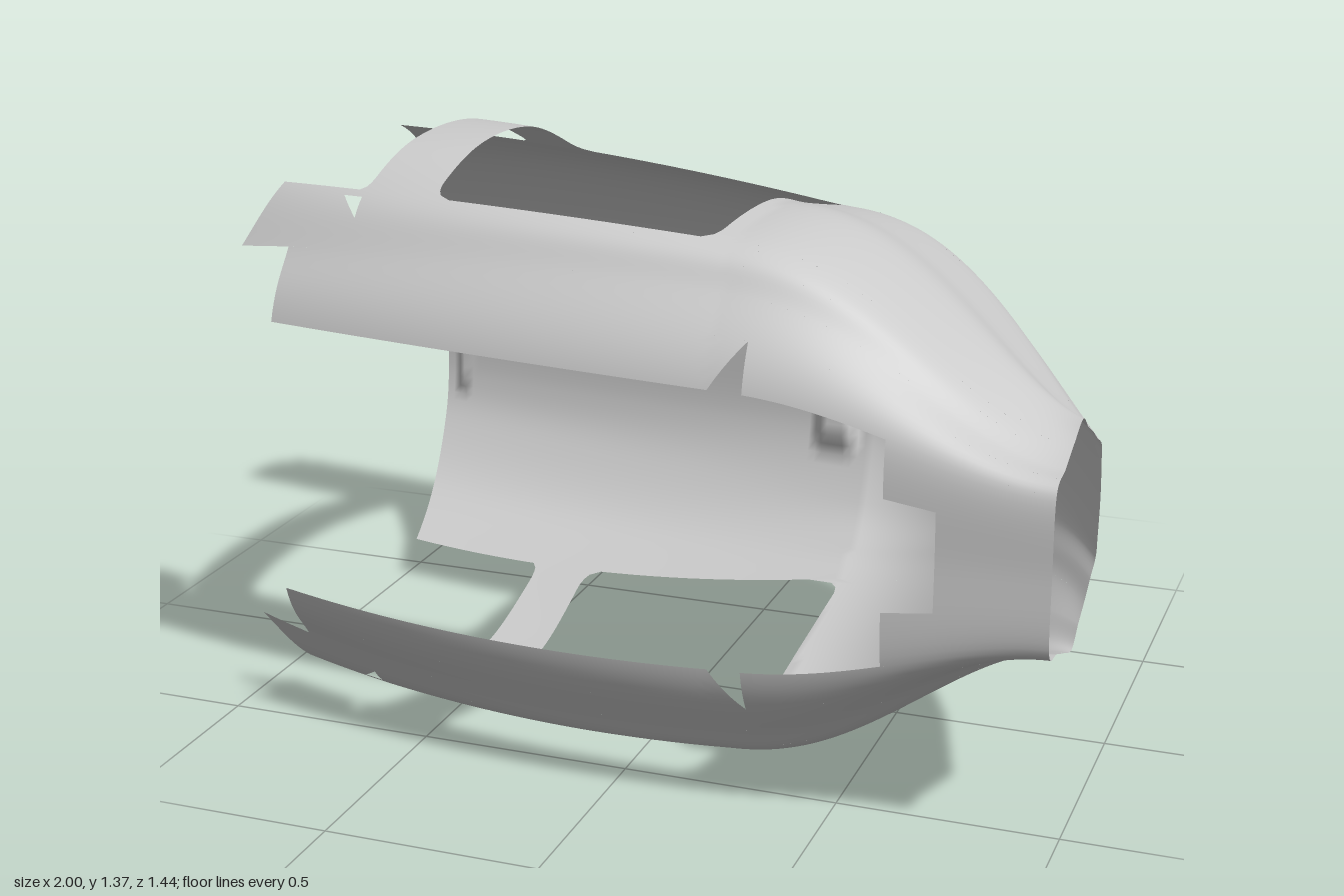
import * as THREE from 'three';

const { lerp, smoothstep, clamp } = THREE.MathUtils;
const MID = 0.685; // height of the mirror plane
const SHOULDER = 0.27; // x where the body turns into the nose

// Half cross-sections from back centre over the top to front centre: z, and y above the mirror plane
const openEnd = {
  z: [-.72, -.715, -.67, -.56, -.39, -.1, .2, .33, .44, .53, .6],
  y: [0, .2, .33, .47, .565, .65, .645, .575, .44, .31, 0],
};
const middle = {
  z: [-.64, -.635, -.585, -.475, -.3, -.03, .24, .475, .57, .67, .7],
  y: [0, .2, .34, .475, .555, .662, .674, .6, .5, .325, 0],
};
const shoulder = {
  z: [-.54, -.53, -.46, -.38, -.275, 0, .22, .52, .615, .71, .717],
  y: [0, .18, .34, .42, .475, .54, .59, .575, .49, .31, 0],
};
const noseEnd = {
  z: [.225, .235, .245, .3, .35, .41, .47, .55, .63, .71, .717],
  y: [0, .09, .13, .16, .19, .22, .255, .23, .2, .17, 0],
};

// Smooth curve through a section; the y half continues mirrored past both ends
function along(section, k, v) {
  const p = i => {
    const m = i < 0 ? -i : i > 10 ? 20 - i : i;
    return section[k][m] * (m !== i && k === 'y' ? -1 : 1);
  };
  const i = clamp(Math.floor(v), 0, 9), t = v - i, s = 1 - t;
  const ma = (p(i + 1) - p(i - 1)) / 2, mb = (p(i + 2) - p(i)) / 2;
  return p(i) * s * s * (1 + 2 * t) + p(i + 1) * t * t * (3 - 2 * t) + t * s * (ma * s - mb * t);
}

// Body: a parabola along x through three sections. Nose: an eased taper to its hexagonal end.
function coordinate(x, v, k) {
  if (x > SHOULDER) {
    const t = Math.min((x - SHOULDER) / (1 - SHOULDER), 1);
    const ease = k === 'z' ? Math.pow(t, 2.2) : lerp(t, smoothstep(Math.pow(t, 1.18), 0, 1), .9);
    return lerp(along(shoulder, k, v), along(noseEnd, k, v), ease);
  }
  const a = -1, b = -.4, c = SHOULDER;
  return along(openEnd, k, v) * (x - b) * (x - c) / ((a - b) * (a - c))
    + along(middle, k, v) * (x - a) * (x - c) / ((b - a) * (b - c))
    + along(shoulder, k, v) * (x - a) * (x - b) / ((c - a) * (c - b));
}

// Pressed grooves across the back
function groove(x, v) {
  const dent = (a, b, w) => smoothstep(x, a - w, a) * (1 - smoothstep(x, b, b + w));
  return (1 - smoothstep(v, .9, 1.4)) * (.04 * dent(.15, .21, .04) + .02 * dent(-.95, -.935, .015));
}

const surface = (x, v) =>
  new THREE.Vector3(x, coordinate(x, v, 'y'), coordinate(x, v, 'z') + groove(x, v));

// Piece of the shell between v0 and v1, trimmed by the edges left(v) and right(v)
function piece(v0, v1, left, right, rows, columns, side) {
  const pos = [], nor = [], idx = [], e = 1e-3;
  for (let j = 0; j <= rows; j++) {
    const v = lerp(v0, v1, j / rows);
    for (let i = 0; i <= columns; i++) {
      const x = lerp(left(v), right(v), i / columns);
      const p = surface(x, v);
      const dx = surface(Math.min(x + e, 1), v).sub(surface(x - e, v));
      const dv = surface(x, Math.min(v + e, 10)).sub(surface(x, Math.max(v - e, 0)));
      const n = dv.cross(dx).normalize();
      pos.push(p.x, MID + side * p.y, p.z);
      nor.push(n.x, side * n.y, n.z);
      if (i < columns && j < rows) {
        const a = j * (columns + 1) + i, b = a + columns + 1;
        if (side > 0) idx.push(a, b, a + 1, b, b + 1, a + 1);
        else idx.push(a, a + 1, b, b, a + 1, b + 1);
      }
    }
  }
  const g = new THREE.BufferGeometry();
  g.setAttribute('position', new THREE.Float32BufferAttribute(pos, 3));
  g.setAttribute('normal', new THREE.Float32BufferAttribute(nor, 3));
  g.setIndex(idx);
  return g;
}

// Straight edge from x = a at v0 to x = b at v1
const edge = (v0, a, v1, b) => v => lerp(a, b, (v - v0) / (v1 - v0));
const at = x => () => x;

// Extra width that rounds the window corners
function fillet(v, r) {
  const t = clamp(1 - Math.min(v - 4, 7 - v) / .25, 0, 1);
  return r * (1 - Math.sqrt(1 - t * t));
}

export function createModel() {
  const model = new THREE.Group();
  const material = new THREE.MeshStandardMaterial({ color: 0xcccccc, side: THREE.DoubleSide });

  const backLeft = v => -1 + .05 * Math.pow(v / 4, 3);
  const windowEnd = v => lerp(.28, .22, (v - 4) / 3) - fillet(v, lerp(.09, .03, (v - 4) / 3));
  const bandLeft = v => lerp(-.56, -.63, (v - 4) / 3) - fillet(v, .02);
  const bandRight = v => lerp(-.42, -.45, (v - 4) / 3) + fillet(v, .04);
  const stripEnd = edge(7, -.87, 8, -.94);

  // name, v0, v1, left edge, right edge, rows, columns
  const parts = [
    ['backPanel', 0, 4, backLeft, at(1), 24, 100],
    ['noseTop', 4, 7, windowEnd, at(1), 36, 48],
    ['archBand', 4, 7, bandLeft, bandRight, 48, 8],
    // front strip, with a small triangular hole near the band
    ['frontStripEdge', 7, 7.12, stripEnd, at(1), 2, 100],
    ['frontStripEnd', 7.12, 7.5, stripEnd, edge(7.12, -.685, 7.5, -.635), 4, 12],
    ['frontStripMiddle', 7.12, 7.5, at(-.635), at(1), 4, 90],
    ['frontStripShoulder', 7.5, 8, stripEnd, at(1), 5, 100],
    ['frontStripSide', 8, 8.5, at(-.8), at(1), 5, 90],
    // lower strip, split by a triangular notch
    ['frontStripLower', 8.5, 9, at(-.8), edge(8.5, .345, 9, .27), 5, 50],
    ['noseSide', 8.5, 9, at(.345), at(1), 5, 36],
    // stepped front of the nose
    ['noseFrontStep', 9, 9.53, at(.65), at(1), 5, 18],
    ['noseFront', 9.53, 10, at(.76), at(1), 5, 12],
  ];

  for (const [half, side] of [['upper', 1], ['lower', -1]]) {
    const group = new THREE.Group();
    group.name = half + 'Half';
    for (const [name, ...spec] of parts) {
      const mesh = new THREE.Mesh(piece(...spec, side), material);
      mesh.name = name;
      group.add(mesh);
    }
    model.add(group);
  }
  return model;
}
